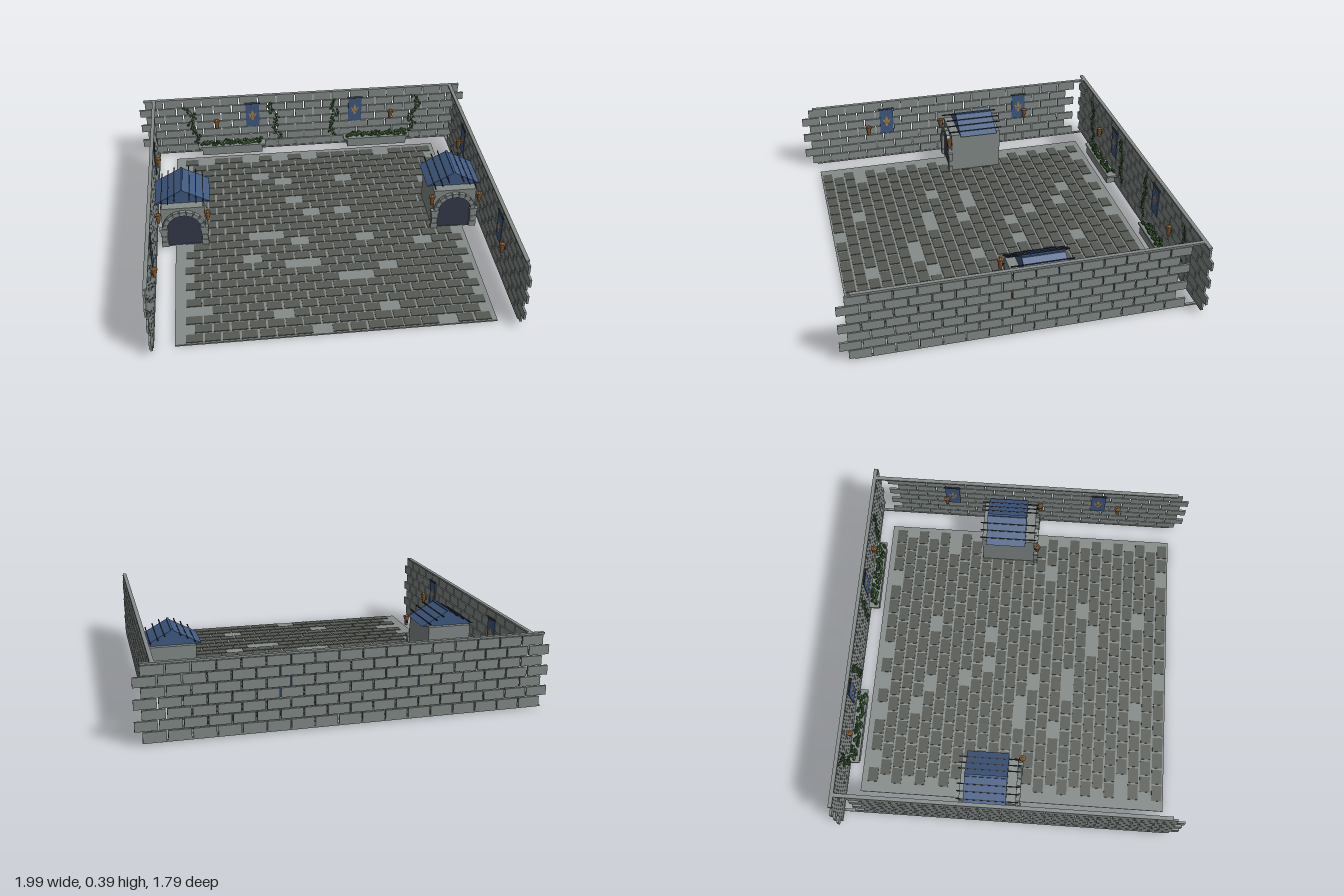
import * as THREE from 'three';
import { mergeGeometries } from 'three/addons/utils/BufferGeometryUtils.js';

const mat = (name, color, extra = {}) => {
  const m = new THREE.MeshStandardMaterial({ color, ...extra });
  m.name = name;
  return m;
};

export function createModel() {
  const M = {
    stone: mat('grey stone', 0x848c89),
    paving: mat('dark paving', 0x565953),
    blue: mat('slate blue', 0x405a82, { side: THREE.DoubleSide }),
    door: mat('dark door', 0x343a4b),
    iron: mat('iron', 0x2b2f36),
    wood: mat('warm wood', 0x8a5c30),
    gold: mat('dull gold', 0xb08545),
    leaf: mat('leaf green', 0x3f6a35, { flatShading: true }),
    darkLeaf: mat('deep leaf green', 0x2b4a26, { flatShading: true }),
  };
  let seed = 7;
  const rnd = () => (seed = (seed * 16807) % 2147483647) / 2147483647;

  const root = new THREE.Group();
  root.name = 'courtyard';
  const add = (parent, name, geo, material, x = 0, y = 0, z = 0) => {
    const m = new THREE.Mesh(geo, material);
    m.name = name;
    m.position.set(x, y, z);
    parent.add(m);
    return m;
  };
  const group = (parent, name, x = 0, y = 0, z = 0, ry = 0) => {
    const g = new THREE.Group();
    g.name = name;
    g.position.set(x, y, z);
    g.rotation.y = ry;
    parent.add(g);
    return g;
  };
  const box = (w, h, d, x = 0, y = 0, z = 0) => new THREE.BoxGeometry(w, h, d).translate(x, y, z);

  // Floor slab with staggered paving; gaps are [row, column] of missing stones
  add(root, 'floorSlab', box(1.6, 0.008, 1.63), M.stone, 0, 0.004, 0.005);
  const gaps = [[0, 1], [0, 4], [0, 6], [0, 8], [0, 13], [3, 4], [4, 6], [4, 10], [5, 15], [7, 6], [9, 7], [9, 9],
    [12, 4], [12, 5], [13, 6], [13, 10], [14, 14], [15, 3], [16, 6], [16, 7], [17, 11], [18, 9], [18, 10],
    [21, 0], [22, 5], [22, 11], [24, 7], [24, 14]].map(([r, c]) => r * 20 + c);
  const stones = [];
  for (let r = 0; r < 25; r++) {
    const odd = r % 2, n = odd ? 16 : 17;
    for (let c = 0; c < n; c++) {
      if (gaps.includes(r * 20 + c)) continue;
      const w = 0.08 + (rnd() - 0.5) * 0.008;
      stones.push(box(w, 0.006, 0.054, -0.705 + odd * 0.045 + c * 0.09, 0.009, -0.752 + r * 0.064));
    }
  }
  add(root, 'pavingStones', mergeGeometries(stones), M.paving);

  // Walls: seven staggered courses of separate blocks under a thin coping
  const T = 0.011;
  const wall = (parent, spans, cap) => {
    const parts = [];
    for (let i = 0; i < 7; i++) {
      const [a, b, n] = spans[i % 2], p = (b - a) / n;
      for (let k = 0; k < n; k++) {
        parts.push(box(p - 0.007, 0.047, T, a + (k + 0.5) * p, 0.0365 + i * 0.0522, 0));
      }
    }
    add(parent, 'wallBlocks', mergeGeometries(parts), M.stone);
    add(parent, 'coping', box(cap[1] - cap[0], 0.01, 0.02, (cap[0] + cap[1]) / 2, 0.381, 0.004), M.stone);
    add(parent, 'footing', box(cap[1] - cap[0], 0.008, 0.014, (cap[0] + cap[1]) / 2, 0.011, 0.002), M.stone);
  };

  // Wall torch: tapered holder, gold rim and iron bracket, projecting to +z
  const torch = (parent, x, y, z, ry = 0) => {
    const g = group(parent, 'torch', x, y, z, ry);
    add(g, 'torchBracket', box(0.008, 0.012, 0.018), M.iron, 0, 0, 0.009);
    add(g, 'torchHolder', new THREE.CylinderGeometry(0.014, 0.008, 0.046, 8), M.wood, 0, 0, 0.018);
    add(g, 'torchRim', new THREE.CylinderGeometry(0.017, 0.017, 0.01, 8), M.wood, 0, 0.027, 0.018);
    add(g, 'torchEmbers', new THREE.ConeGeometry(0.009, 0.012, 8), M.gold, 0, 0.036, 0.018);
  };

  // Hanging cloth with a plain ornament of diamonds and bars
  const banner = (parent, x, y, z, ry = 0) => {
    const g = group(parent, 'banner', x, y, z, ry);
    const s = new THREE.Shape();
    [[-0.041, 0.083], [0.041, 0.083], [0.041, -0.083], [0.02, -0.077], [0, -0.083], [-0.02, -0.077], [-0.041, -0.083]]
      .forEach(([a, b], i) => (i ? s.lineTo(a, b) : s.moveTo(a, b)));
    add(g, 'bannerCloth', new THREE.ExtrudeGeometry(s, { depth: 0.004, bevelEnabled: false }), M.blue);
    add(g, 'bannerRod', new THREE.CylinderGeometry(0.005, 0.005, 0.094, 8).rotateZ(Math.PI / 2), M.iron, 0, 0.085, 0.004);
    const petal = (px, py, w, h, a) => add(g, 'bannerOrnament', new THREE.CircleGeometry(1, 4).scale(w, h, 1).rotateZ(a), M.gold, px, py, 0.0055);
    petal(0, 0.014, 0.009, 0.026, 0);
    petal(0.015, 0.004, 0.006, 0.019, -0.5);
    petal(-0.015, 0.004, 0.006, 0.019, 0.5);
    add(g, 'bannerOrnament', box(0.038, 0.005, 0.002), M.gold, 0, -0.009, 0.005);
    petal(0, -0.021, 0.008, 0.014, 0);
  };

  // Clumps of leaves scattered by a placement rule
  const leaves = (parent, name, count, place) => {
    const sets = [[], []];
    for (let i = 0; i < count; i++) {
      const [x, y, z, r] = place(i / (count - 1));
      sets[i % 3 ? 0 : 1].push(new THREE.IcosahedronGeometry(r, 0).scale(1.2, 0.85, 0.8).rotateZ(rnd() * 3).translate(x, y, z));
    }
    add(parent, name, mergeGeometries(sets[0]), M.leaf);
    add(parent, name + 'Shade', mergeGeometries(sets[1]), M.darkLeaf);
  };

  const back = group(root, 'backWall', 0, 0, -0.89);
  wall(back, [[-0.965, 0.965, 17], [-1, 1, 18]], [-0.968, 0.962]);
  for (const s of [-1, 1]) {
    const side = group(root, s < 0 ? 'rightWall' : 'leftWall', s * 0.909, 0, 0, -s * Math.PI / 2);
    wall(side, s > 0 ? [[-0.82, 0.855, 15], [-0.765, 0.896, 15]] : [[-0.855, 0.82, 15], [-0.896, 0.765, 15]],
      s > 0 ? [-0.88, 0.825] : [-0.825, 0.88]);
    for (const z of [0.385, -0.45]) banner(side, s * z, 0.25, 0.008);
    for (const z of [0.5, -0.485]) torch(side, s * z, 0.2, 0.005);

    // Back wall dressing: banner, torch, planter and vines
    banner(back, s * 0.317, 0.248, 0.008);
    torch(back, s * 0.54, 0.2, 0.005);
    const planter = group(root, 'planter', s * 0.453, 0, -0.855);
    add(planter, 'planterBox', box(0.37, 0.055, 0.05), M.stone, 0, 0.0375, 0);
    add(planter, 'planterLip', box(0.415, 0.012, 0.056), M.stone, 0, 0.062, 0);
    leaves(planter, 'planterBush', 60, (t) => [(t - 0.5) * 0.37, 0.072 + rnd() * 0.018, (rnd() - 0.5) * 0.04, 0.009 + rnd() * 0.005]);
    for (const x of [0.18, 0.685]) {
      const vine = group(back, 'vine', s * x, 0, 0.012);
      const path = (t) => new THREE.Vector3(Math.sin(t * 11 + x * 9) * 0.014 + (t - 0.5) * 0.03 * s, 0.075 + t * 0.255, 0);
      const curve = new THREE.CatmullRomCurve3([0, 0.2, 0.4, 0.6, 0.8, 1].map(path));
      add(vine, 'vineStem', new THREE.TubeGeometry(curve, 20, 0.0025, 5), M.darkLeaf);
      leaves(vine, 'vineLeaves', 30, (t) => {
        const p = path(t);
        return [p.x + (rnd() - 0.5) * 0.04, p.y, 0.003, 0.006 + rnd() * 0.004];
      });
    }

    // Gatehouse: plain body, arched front, door and slate roof
    const gate = group(root, 'gatehouse', s * 0.745, 0, 0);
    add(gate, 'gatehouseBody', box(0.235, 0.24, 0.295), M.stone, 0, 0.13, -0.112);
    const R = 0.09, cy = 0.12;
    const arch = (r, top) => {
      const sh = new THREE.Shape();
      sh.moveTo(-r, 0.008);
      sh.lineTo(r, 0.008);
      sh.lineTo(r, top);
      sh.absarc(0, top, r, 0, Math.PI);
      sh.closePath();
      return sh;
    };
    const front = arch(0.112, cy);
    front.holes.push(arch(R, cy));
    add(gate, 'archSurround', new THREE.ExtrudeGeometry(front, { depth: 0.012, bevelEnabled: false, curveSegments: 24 }), M.stone, 0, 0, 0.035);
    add(gate, 'door', new THREE.ExtrudeGeometry(arch(R, cy), { depth: 0.004, bevelEnabled: false, curveSegments: 24 }), M.door, 0, 0, 0.036);
    const vous = [];
    for (let i = 0; i < 9; i++) {
      const a = ((i + 0.5) / 9 - 0.5) * Math.PI;
      vous.push(box(0.033, 0.024, 0.022, 0, 0.104, 0).rotateZ(a).translate(0, cy, 0.045));
    }
    add(gate, 'archStones', mergeGeometries(vous), M.stone);
    for (const e of [-1, 1]) {
      for (let i = 0; i < 3; i++) {
        add(gate, 'pillarBlock', box(i % 2 ? 0.032 : 0.038, 0.033, 0.022), M.stone, e * 0.109, 0.026 + i * 0.036, 0.045);
      }
      add(gate, 'pillarCap', box(0.046, 0.014, 0.028), M.stone, e * 0.109, 0.124, 0.046);
      torch(gate, e * 0.132, 0.2, 0.036);
    }
    const tri = new THREE.Shape([new THREE.Vector2(-0.148, 0.25), new THREE.Vector2(0.148, 0.25), new THREE.Vector2(0, 0.33)]);
    add(gate, 'roof', new THREE.ExtrudeGeometry(tri, { depth: 0.22, bevelEnabled: false }), M.blue, 0, 0, -0.235);
    for (const e of [-1, 1]) {
      for (const d of [0.04, 0.075, 0.112]) {
        add(gate, 'roofBatten', box(0.005, 0.006, 0.32), M.iron, e * d, 0.33 - d * 0.54, -0.112);
      }
    }
    add(gate, 'roofRidge', box(0.012, 0.008, 0.22), M.blue, 0, 0.33, -0.125);
  }
  return root;
}
